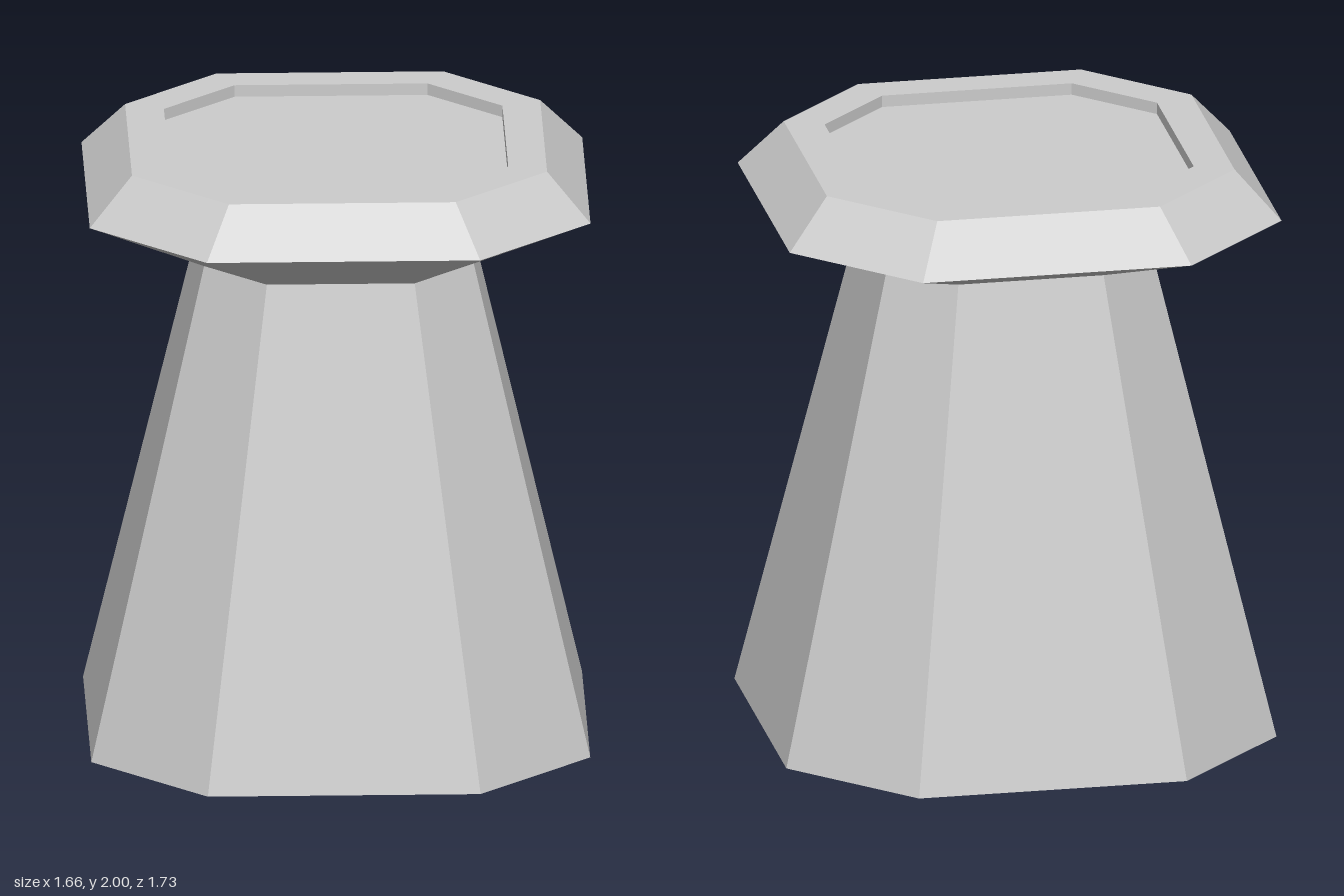
import * as THREE from 'three';

// One chamfered-square ring: half width, half length of the straight side, height, z centre
function ring(half, flat, y, cz) {
  return [
    [half, -flat], [half, flat], [flat, half], [-flat, half],
    [-half, flat], [-half, -flat], [-flat, -half], [flat, -half],
  ].map(([x, z]) => [x, y, z + cz]);
}

// Joins consecutive rings with flat faces, optionally closing the first and last ring
function loft(rings, closeStart, closeEnd) {
  const pos = [];
  const n = rings[0].length;
  const tri = (a, b, c) => pos.push(...a, ...b, ...c);
  for (let r = 0; r < rings.length - 1; r++) {
    const lo = rings[r], up = rings[r + 1];
    for (let i = 0; i < n; i++) {
      const j = (i + 1) % n;
      tri(lo[i], up[i], up[j]);
      tri(lo[i], up[j], lo[j]);
    }
  }
  const first = rings[0], last = rings[rings.length - 1];
  for (let i = 1; i < n - 1; i++) {
    if (closeStart) tri(first[0], first[i], first[i + 1]);
    if (closeEnd) tri(last[0], last[i + 1], last[i]);
  }
  const geo = new THREE.BufferGeometry();
  geo.setAttribute('position', new THREE.Float32BufferAttribute(pos, 3));
  geo.computeVertexNormals();
  return geo;
}

export function createModel() {
  const group = new THREE.Group();
  group.name = 'pedestal';
  const stone = new THREE.MeshStandardMaterial({ color: 0xcccccc });
  stone.name = 'pale grey';
  stone.flatShading = true;

  const add = (name, geo) => {
    const mesh = new THREE.Mesh(geo, stone);
    mesh.name = name;
    group.add(mesh);
  };

  // Tapered eight-sided column
  const neck = ring(0.447, 0.245, 1.66, 0.04);
  add('column', loft([ring(0.827, 0.452, 0, 0.038), neck], true, false));

  // Flared cap with bevelled rim and a shallow recess on top
  add('cap', loft([
    neck,
    ring(0.83, 0.453, 1.84, -0.035),
    ring(0.688, 0.376, 2, -0.026),
    ring(0.561, 0.32, 2, -0.027),
    ring(0.561, 0.32, 1.96, -0.027),
  ], false, true));

  return group;
}
